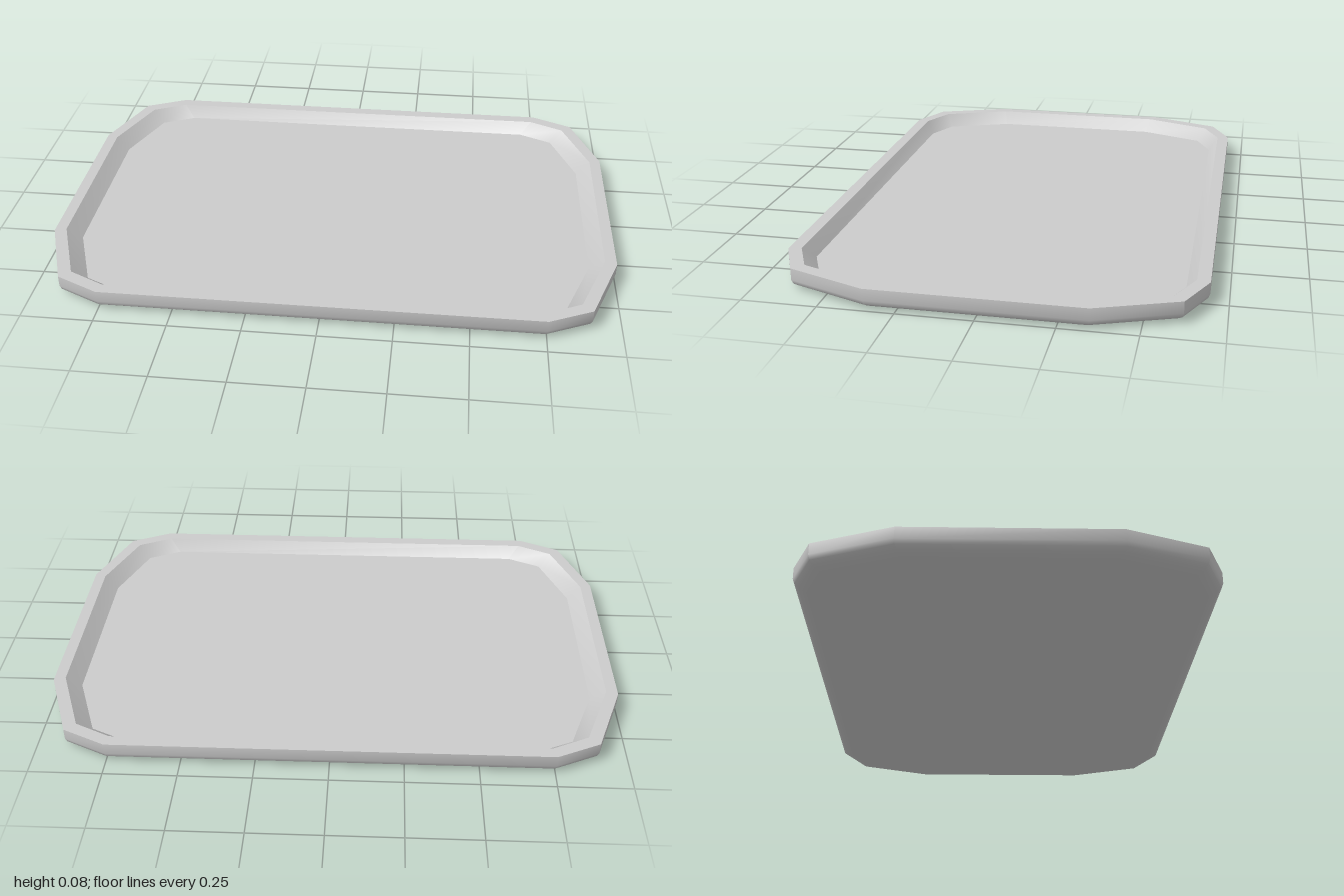
import * as THREE from 'three';
import { toCreasedNormals } from 'three/addons/utils/BufferGeometryUtils.js';

// Three points of one quarter of each outline, as [x, z]
const OUTER = [[1, 0.35], [0.9, 0.62], [0.75, 0.69]];
const INNER = [[0.96, 0.337], [0.865, 0.587], [0.74, 0.647]];
const FLOOR = [[0.91, 0.32], [0.82, 0.558], [0.7, 0.614]];
const CENTRE = [[0, 0], [0, 0], [0, 0]];

const HEIGHT = 0.075;
const FLOOR_Y = 0.03;

// Mirror a quarter outline into a closed twelve-sided ring at height y
function ring(quarter, y) {
  const back = [...quarter].reverse();
  return [
    ...quarter.map(([x, z]) => [x, y, z]),
    ...back.map(([x, z]) => [-x, y, z]),
    ...quarter.map(([x, z]) => [-x, y, -z]),
    ...back.map(([x, z]) => [x, y, -z]),
  ];
}

// Outer outline drawn in towards the floor outline by t
const shrink = (t) => OUTER.map(([x, z], i) => [
  x + (FLOOR[i][0] - x) * t,
  z + (FLOOR[i][1] - z) * t,
]);

// Join successive rings with faces; equal neighbouring points give no face
function loft(name, rings) {
  const pos = [];
  const same = (p, q) => p.every((v, k) => v === q[k]);
  for (let r = 0; r < rings.length - 1; r++) {
    const a = rings[r], b = rings[r + 1];
    for (let i = 0; i < a.length; i++) {
      const j = (i + 1) % a.length;
      if (!same(a[i], a[j])) pos.push(...a[i], ...b[i], ...a[j]);
      if (!same(b[i], b[j])) pos.push(...b[i], ...b[j], ...a[j]);
    }
  }
  const geo = new THREE.BufferGeometry();
  geo.setAttribute('position', new THREE.Float32BufferAttribute(pos, 3));
  const mesh = new THREE.Mesh(
    toCreasedNormals(geo, THREE.MathUtils.degToRad(35)),
    new THREE.MeshStandardMaterial({ color: 0xcccccc }),
  );
  mesh.name = name;
  return mesh;
}

export function createModel() {
  const tray = new THREE.Group();
  tray.name = 'tray';
  tray.add(
    // Underside, rounded lower edge and upright outer wall
    loft('outerShell', [
      ring(CENTRE, 0),
      ring(shrink(0.58), 0),
      ring(shrink(0.24), 0.009),
      ring(shrink(0.07), 0.02),
      ring(OUTER, 0.035),
      ring(OUTER, HEIGHT),
    ]),
    // Flat top of the edge
    loft('rim', [ring(OUTER, HEIGHT), ring(INNER, HEIGHT)]),
    // Sloping wall down to the floor
    loft('innerWall', [ring(INNER, HEIGHT), ring(FLOOR, FLOOR_Y)]),
    loft('floor', [ring(FLOOR, FLOOR_Y), ring(CENTRE, FLOOR_Y)]),
  );
  return tray;
}
